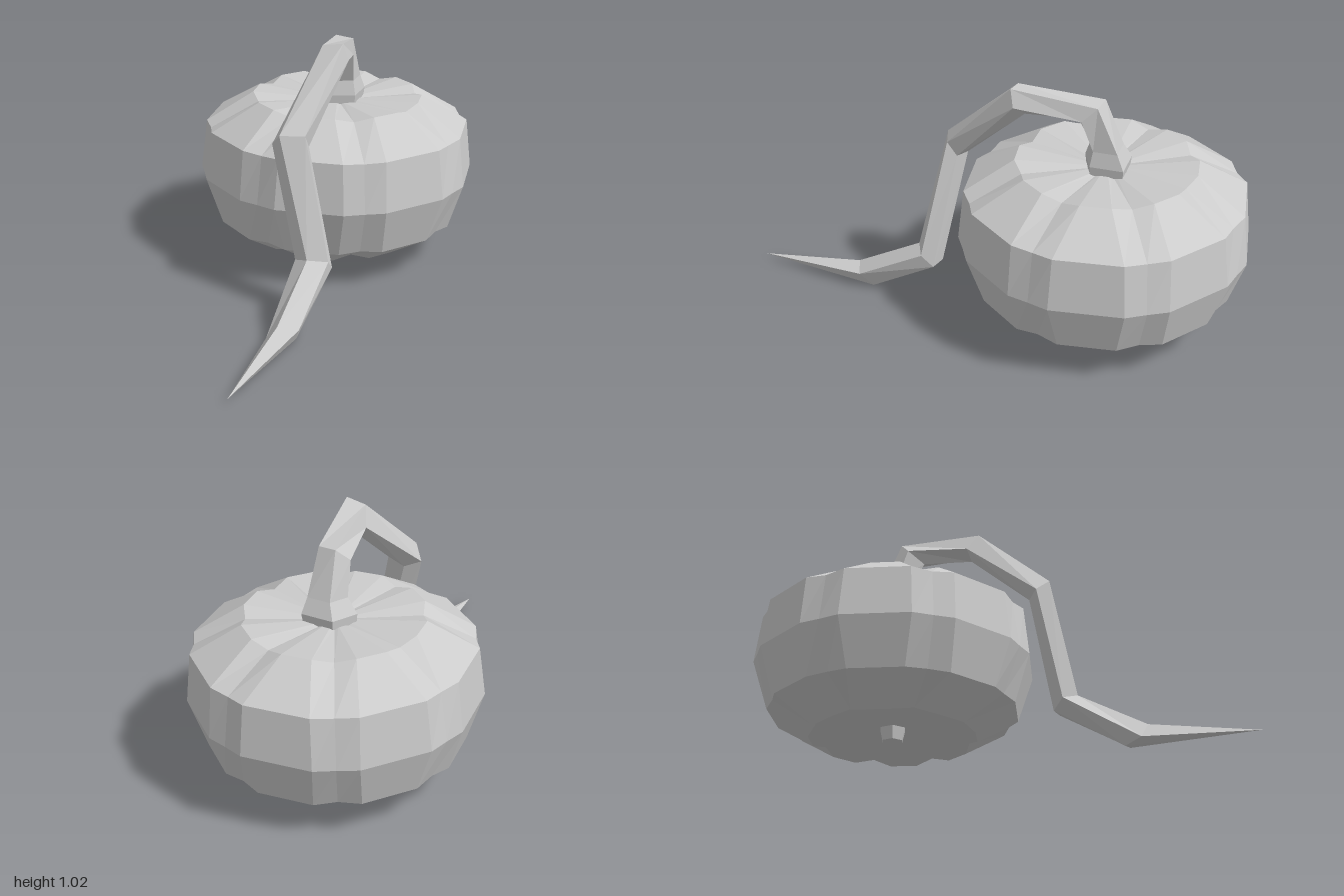
import * as THREE from 'three';

const material = new THREE.MeshStandardMaterial({ color: 0xcccccc, flatShading: true });

// Skins a stack of equal-sized rings (clockwise seen from above) and closes both ends.
function loft(name, rings) {
  const pos = [];
  const tri = (a, b, c) => pos.push(...a, ...b, ...c);
  const n = rings[0].length;
  const middle = (ring) => [0, 1, 2].map((k) => ring.reduce((s, p) => s + p[k], 0) / n);
  const first = rings[0], last = rings[rings.length - 1];
  const bottom = middle(first), top = middle(last);
  for (let i = 0; i < n; i++) {
    const j = (i + 1) % n;
    for (let r = 0; r < rings.length - 1; r++) {
      const lo = rings[r], hi = rings[r + 1];
      tri(lo[j], lo[i], hi[i]);
      tri(lo[j], hi[i], hi[j]);
    }
    tri(bottom, first[i], first[j]);
    tri(top, last[j], last[i]);
  }
  const geometry = new THREE.BufferGeometry();
  geometry.setAttribute('position', new THREE.Float32BufferAttribute(pos, 3));
  geometry.computeVertexNormals();
  const mesh = new THREE.Mesh(geometry, material);
  mesh.name = name;
  return mesh;
}

// Eight lobes: each groove has two shoulders and a sunken middle.
function bodyRing([radius, y, halfAngle, sinkR, sinkY]) {
  const ring = [];
  for (let k = 0; k < 8; k++) {
    for (const side of [-1, 0, 1]) {
      const a = THREE.MathUtils.degToRad(k * 45 + side * halfAngle);
      const r = side ? radius : radius * Math.cos(THREE.MathUtils.degToRad(halfAngle)) - sinkR;
      ring.push([r * Math.sin(a), y + (side ? 0 : sinkY), -0.415 - r * Math.cos(a)]);
    }
  }
  return ring;
}

// Five-sided stem ring standing over the body centre
function stemRing(y, scale, dx) {
  const shape = [[-0.065, -0.075], [0.07, -0.11], [0.105, 0.02], [0.015, 0.09], [-0.09, 0.035]];
  return shape.map(([x, z]) => [x * scale + dx, y, z * scale - 0.415]);
}

export function createModel() {
  const model = new THREE.Group();
  model.name = 'pumpkin';

  // Body profile: radius, height, groove half angle, groove sink inward and vertically
  const profile = [
    [0.06, 0.1, 12, 0, 0],
    [0.35, 0.06, 13, 0.01, 0.018],
    [0.525, 0.165, 10, 0.008, 0.006],
    [0.592, 0.365, 8.5, 0.002, 0],
    [0.567, 0.575, 9, 0.008, -0.006],
    [0.365, 0.697, 13, 0.01, -0.02],
    [0.07, 0.675, 12, 0, -0.005],
  ];
  model.add(loft('body', profile.map(bodyRing)));

  // Small blossom end underneath
  const blossom = new THREE.Mesh(new THREE.CylinderGeometry(0.06, 0.045, 0.06, 6), material);
  blossom.name = 'blossomEnd';
  blossom.position.set(-0.005, 0.077, -0.415);
  model.add(blossom);

  // Stem: flared foot, then a ring at each elbow, ending in the pointed tip
  const tip = [0.49, 0.027, 1];
  model.add(loft('stem', [
    stemRing(0.665, 0.95, 0),
    stemRing(0.71, 1, 0),
    stemRing(0.772, 0.72, 0.015),
    [[0, 0.96, -0.4], [0.08, 0.955, -0.41], [0.115, 0.9, -0.36], [0.045, 0.87, -0.31], [-0.03, 0.91, -0.35]],
    [[0.14, 1.005, -0.09], [0.225, 1.02, -0.11], [0.24, 0.95, -0.13], [0.17, 0.9, -0.14], [0.1, 0.93, -0.13]],
    [[0.16, 0.715, 0.235], [0.245, 0.715, 0.18], [0.235, 0.66, 0.14], [0.15, 0.64, 0.145], [0.1, 0.66, 0.2]],
    [[0.325, 0.245, 0.28], [0.39, 0.235, 0.225], [0.375, 0.19, 0.175], [0.3, 0.185, 0.18], [0.245, 0.215, 0.245]],
    [[0.385, 0.09, 0.56], [0.45, 0.075, 0.51], [0.41, 0.01, 0.47], [0.35, 0, 0.47], [0.325, 0.02, 0.55]],
    Array(5).fill(tip),
  ]));

  return model;
}
